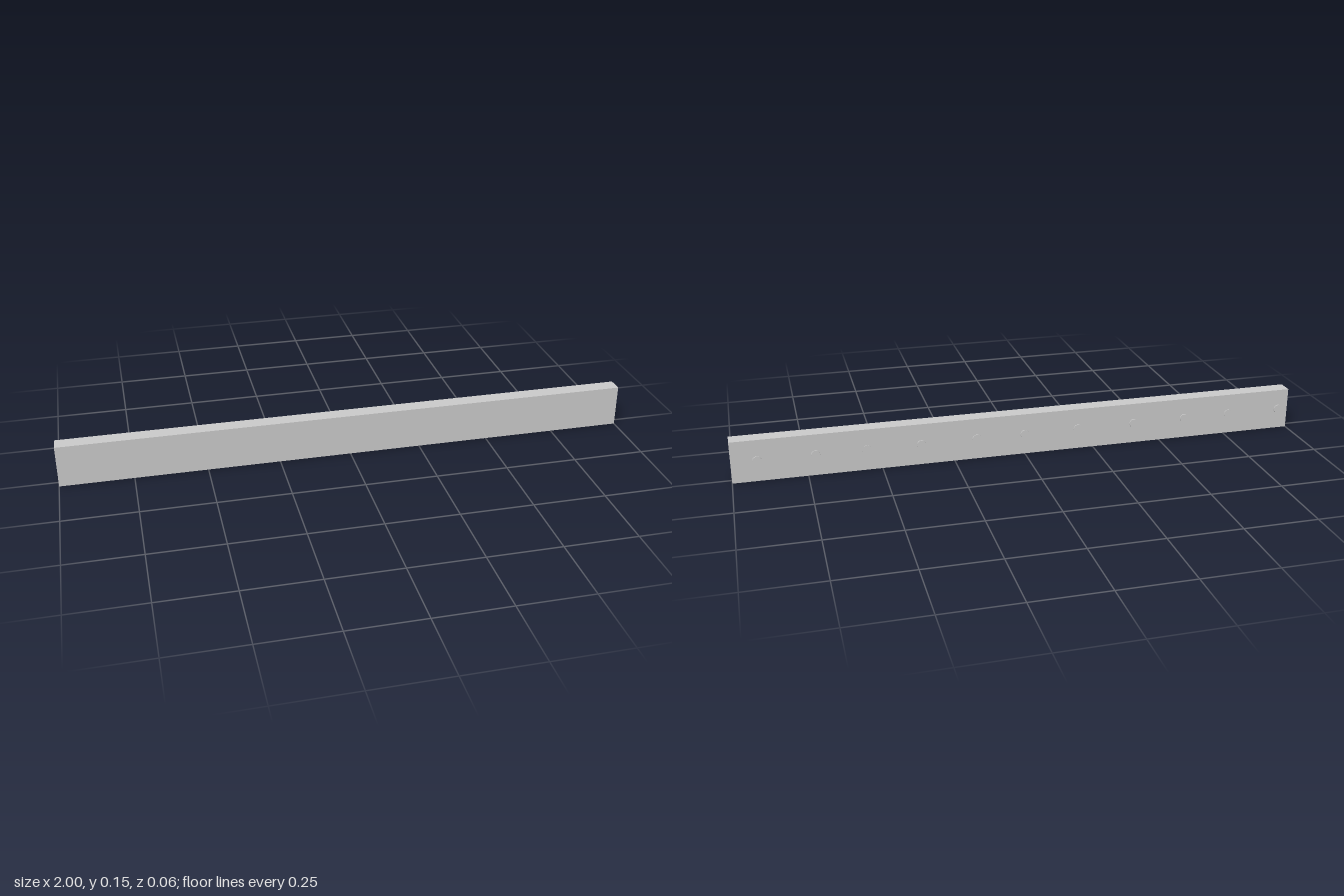
import * as THREE from 'three';

export function createModel() {
  const group = new THREE.Group();
  const material = new THREE.MeshStandardMaterial({ color: 0xcccccc });
  const height = 0.147, front = 0.028, back = -0.0255;

  // Long plank
  const plank = new THREE.Mesh(new THREE.BoxGeometry(2, height, front - back), material);
  plank.name = 'plank';
  plank.position.set(0, height / 2, (front + back) / 2);
  group.add(plank);

  // Row of shallow, unevenly spaced nail heads along the back: [x, projection]
  const nails = [
    [-0.963, 0.0025], [-0.765, 0.0015], [-0.594, 0.0025], [-0.401, 0.0025],
    [-0.193, 0.0025], [0, 0.0025], [0.171, 0.0025], [0.364, 0.0025],
    [0.551, 0.0015], [0.722, 0.0025], [0.914, 0.0025],
  ];
  const sunk = 0.004;
  for (const [x, out] of nails) {
    const head = new THREE.CylinderGeometry(0.015, 0.016, out + sunk, 20);
    head.rotateX(-Math.PI / 2);
    const nail = new THREE.Mesh(head, material);
    nail.name = 'nailHead';
    nail.position.set(x, 0.074, back + (sunk - out) / 2);
    group.add(nail);
  }
  return group;
}
